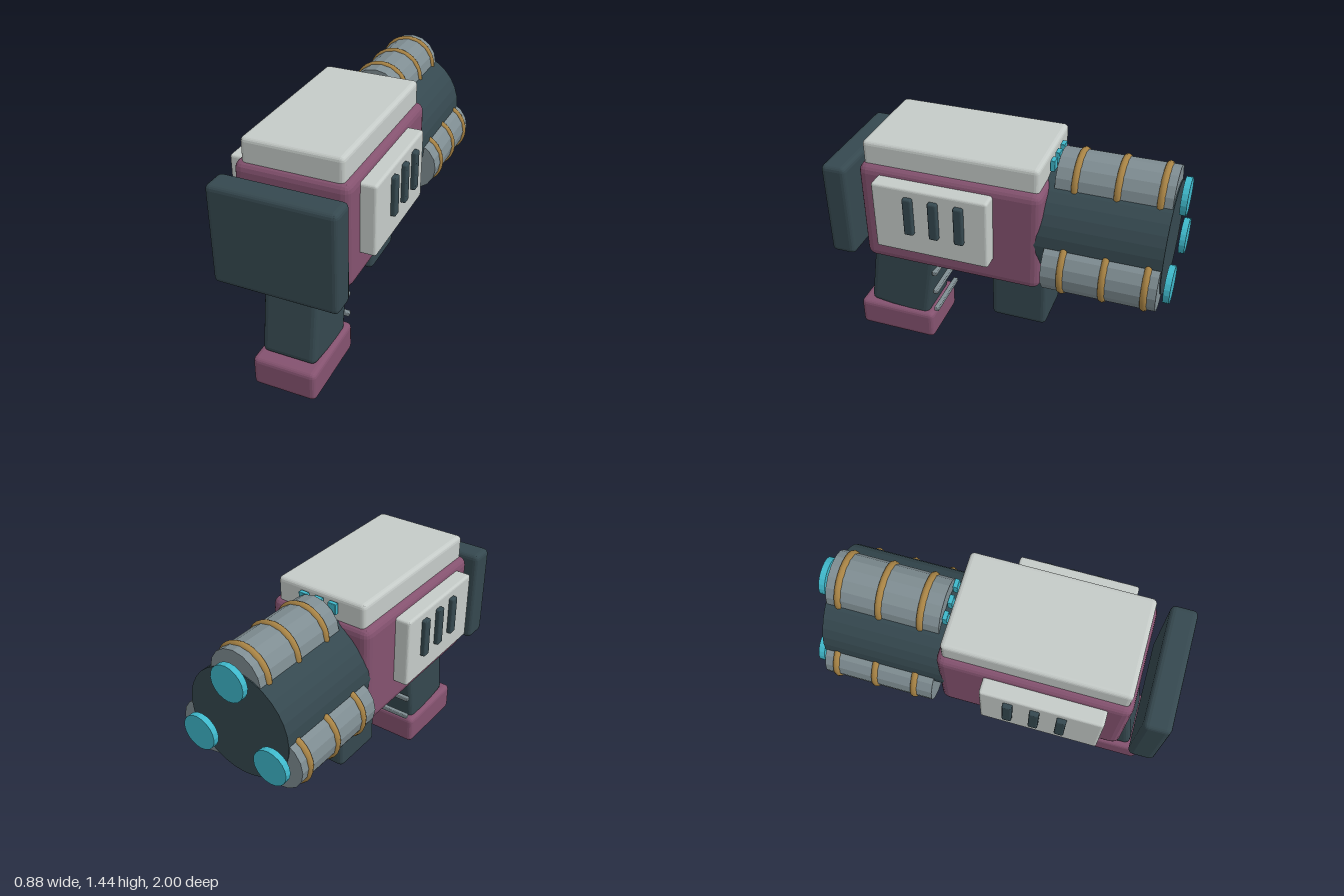
import * as THREE from 'three';
import { RoundedBoxGeometry } from 'three/addons/geometries/RoundedBoxGeometry.js';

export function createModel() {
  const model = new THREE.Group();
  model.name = 'tripleBarrelBlaster';

  const material = (name, color, flatShading = false) => {
    const m = new THREE.MeshStandardMaterial({ color, flatShading });
    m.name = name;
    return m;
  };
  const slate = material('darkSlate', 0x35484f, true);
  const plum = material('plum', 0x84526f, true);
  const pale = material('paleGrey', 0xc5cbc8, true);
  const steel = material('steelGrey', 0x7f8d92, true);
  const brass = material('brass', 0xa98445);
  const cyan = material('cyan', 0x3fb8cb, true);

  const add = (name, geometry, mat, x, y, z) => {
    const mesh = new THREE.Mesh(geometry, mat);
    mesh.name = name;
    mesh.position.set(x, y, z);
    model.add(mesh);
    return mesh;
  };
  // Softly bevelled block given by its lower and upper limits
  const block = (name, mat, [x0, x1], [y0, y1], [z0, z1], bevel) =>
    add(name, new RoundedBoxGeometry(x1 - x0, y1 - y0, z1 - z0, 2, bevel), mat,
      (x0 + x1) / 2, (y0 + y1) / 2, (z0 + z1) / 2);
  // Cylinder lying along z
  const rod = (name, mat, radius, x, y, z0, z1, sides) =>
    add(name, new THREE.CylinderGeometry(radius, radius, z1 - z0, sides).rotateX(Math.PI / 2),
      mat, x, y, (z0 + z1) / 2);

  // Main housing
  block('body', plum, [-0.325, 0.325], [0.68, 1.3], [-0.28, 0.785], 0.05);
  block('topCover', pale, [-0.285, 0.285], [1.22, 1.432], [-0.255, 0.76], 0.025);
  block('buttPlate', slate, [-0.357, 0.357], [0.685, 1.27], [0.848, 1], 0.03);

  // Side covers with three vents each
  for (const side of [-1, 1]) {
    const sideBlock = (name, mat, x0, x1, y, z, bevel) =>
      block(name, mat, side > 0 ? [x0, x1] : [-x1, -x0], y, z, bevel);
    sideBlock('sideCover', pale, 0.3, 0.413, [0.84, 1.257], [-0.013, 0.66], 0.015);
    for (const z of [0.147, 0.294, 0.441]) {
      sideBlock('vent', slate, 0.39, 0.44, [0.975, 1.207], [z - 0.027, z + 0.027], 0.01);
    }
  }

  // Raked rear grip, base and finger ribs
  const grip = add('rearGrip', new RoundedBoxGeometry(0.325, 0.62, 0.395, 2, 0.035),
    slate, 0, 0.47, 0.648);
  grip.rotation.x = -0.15;
  block('gripBase', plum, [-0.19, 0.19], [0, 0.188], [0.452, 0.953], 0.03);
  for (const y of [0.225, 0.365, 0.505, 0.645]) {
    block('gripRib', steel, [-0.165, 0.165], [y - 0.015, y + 0.015], [0.42, 0.45], 0.007);
  }

  // Forward grip
  block('foreGrip', slate, [-0.15, 0.15], [0.285, 0.75], [-0.275, 0.065], 0.03);

  // Central drum with three barrels set around it
  const axisY = 0.992;
  rod('drum', slate, 0.322, 0, axisY, -0.943, -0.24, 32);
  for (let i = 0; i < 3; i++) {
    const angle = Math.PI / 2 + i * Math.PI * 2 / 3;
    const x = 0.275 * Math.cos(angle);
    const y = axisY + 0.275 * Math.sin(angle);
    rod('barrel', steel, 0.16, x, y, -0.937, -0.305, 16);
    for (const z of [-0.413, -0.644, -0.872]) {
      add('barrelRing', new THREE.TorusGeometry(0.152, 0.021, 8, 28), brass, x, y, z);
    }
    rod('muzzleLens', cyan, 0.105, x, y, -1, -0.965, 20);
  }

  // Indicator lights behind the top barrel
  for (const x of [-0.1, -0.005, 0.09]) {
    block('indicatorLight', cyan, [x - 0.027, x + 0.027], [1.343, 1.407], [-0.291, -0.264], 0.004);
  }
  return model;
}
